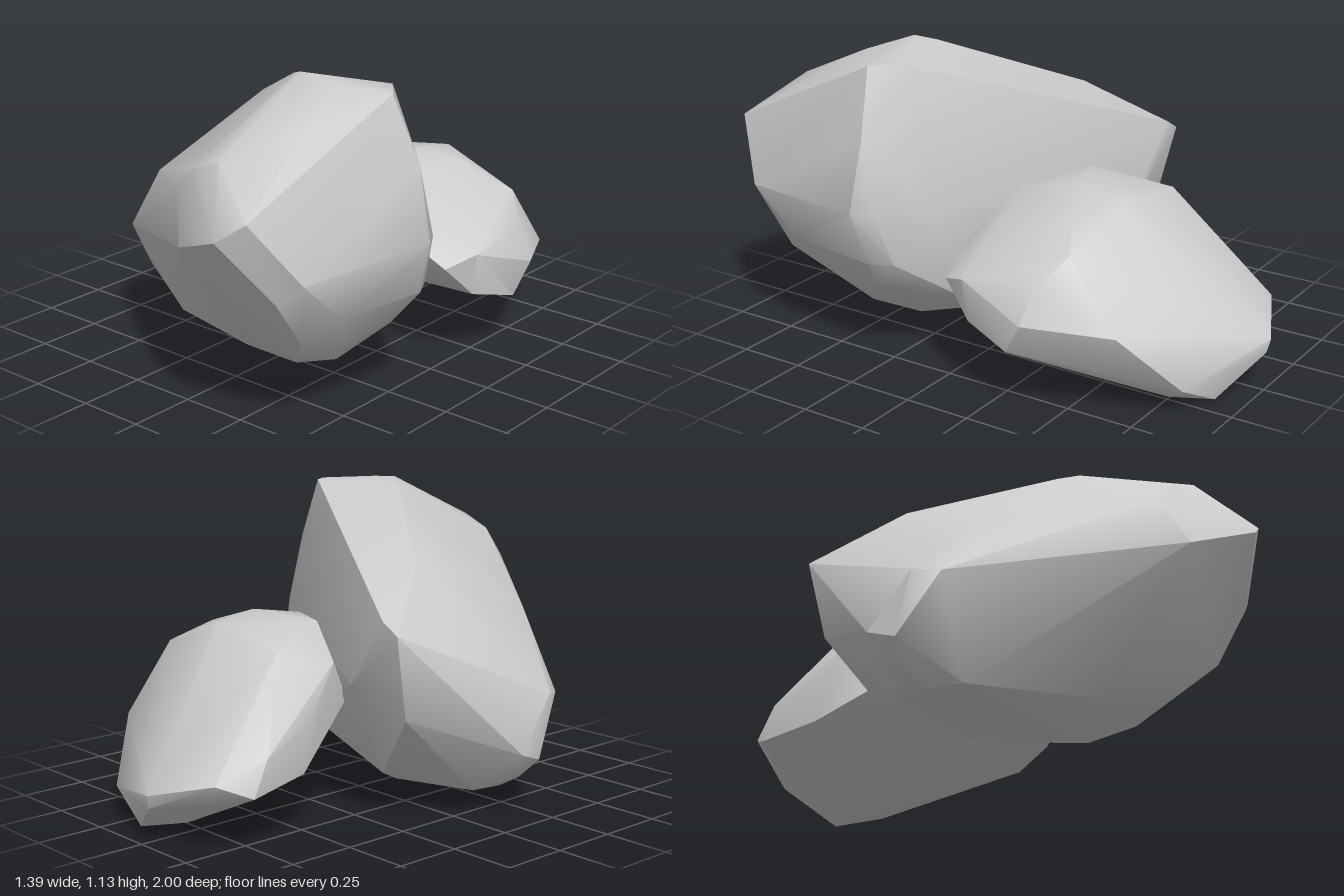
import * as THREE from 'three';
import { ConvexGeometry } from 'three/addons/geometries/ConvexGeometry.js';
import { toCreasedNormals } from 'three/addons/utils/BufferGeometryUtils.js';

// Chiselled boulder: the hull of its corner points, soft across shallow facets
function makeRock(name, corners, crease) {
  const points = corners.map(([x, y, z]) => new THREE.Vector3(x, y, z));
  const geometry = toCreasedNormals(new ConvexGeometry(points), crease);
  const mesh = new THREE.Mesh(geometry, new THREE.MeshStandardMaterial({ color: 0xcccccc }));
  mesh.name = name;
  return mesh;
}

const LARGE = [
  // top ridge
  [0.54, 1.105, 0.3], [0.47, 1.11, 0.21], [0.19, 1.135, 0.36], [0.12, 1.11, 0.31],
  [0.24, 1.03, 0.15], [-0.34, 0.9, -0.04], [-0.48, 0.75, -0.33], [-0.55, 0.71, -0.33],
  [0.38, 1.115, 0.43],
  // sloping front shoulder
  [0.42, 1.03, 0.59], [0.25, 0.94, 0.83], [0.13, 0.895, 0.82], [0.04, 0.8, 0.81],
  [-0.4, 0.69, 0.46], [0.31, 0.78, 0.93],
  // front rim
  [-0.67, 0.43, 0.31], [-0.62, 0.415, 0.4], [-0.44, 0.45, 0.5], [0.12, 0.635, 0.89],
  [0.38, 0.74, 0.995], [0.475, 0.81, 0.95],
  // front right edge
  [0.59, 0.59, 0.81], [0.505, 0.52, 0.85], [0.59, 0.42, 0.62], [0.5, 0.34, 0.72],
  [0.35, 0.18, 0.57],
  // right side
  [0.63, 0.87, 0.265], [0.69, 0.61, 0.28], [0.63, 0.41, 0.25], [0.65, 0.61, 0.21],
  [0.59, 0.41, 0.17], [0.54, 0.29, 0.3], [0.4, 0.155, 0.42],
  // underside
  [0.24, 0.07, 0.32], [0.06, 0.14, 0.5], [-0.43, 0.09, 0.33], [-0.51, 0.07, 0.23],
  [-0.5, 0.075, 0.1], [-0.11, 0.035, 0.09], [-0.62, 0.13, 0.21], [-0.68, 0.2, 0.25],
  [-0.7, 0.24, 0.14], [-0.3, 0.15, -0.16], [0.3, 0.2, 0.04],
  // back
  [-0.52, 0.4, -0.26], [-0.3, 0.5, -0.31], [0.48, 0.6, 0.06],
];

const SMALL = [
  // crown
  [0.2, 0.66, -0.12], [0.2, 0.7, -0.34], [-0.05, 0.68, -0.25], [-0.16, 0.62, -0.53],
  [0.18, 0.67, -0.53], [0.34, 0.65, -0.42], [0.5, 0.56, -0.5],
  // front end
  [0.35, 0.49, 0], [0.17, 0.6, -0.06], [0.54, 0.39, -0.02], [0.3, 0.4, -0.03],
  [0.58, 0.27, -0.14],
  // right side
  [0.6, 0.43, -0.13], [0.5, 0.5, -0.2], [0.59, 0.46, -0.42], [0.655, 0.34, -0.4],
  [0.63, 0.22, -0.33], [0.51, 0.31, -0.69], [0.41, 0.15, -0.77], [0.35, 0.1, -0.86],
  // left side
  [-0.14, 0.4, -0.19], [-0.23, 0.57, -0.33], [-0.3, 0.4, -0.5], [-0.3, 0.22, -0.53],
  [-0.34, 0.32, -0.72], [-0.34, 0.19, -0.78],
  // back tip and base
  [-0.27, 0.24, -0.89], [-0.04, 0.18, -1], [-0.03, 0.13, -0.99], [0.16, 0, -0.89],
  [0.01, 0.03, -0.8], [0.32, 0.05, -0.79], [0.2, 0.22, -0.22],
];

export function createModel() {
  const group = new THREE.Group();
  group.name = 'rocks';
  group.add(makeRock('largeRock', LARGE, 0.6), makeRock('smallRock', SMALL, 0.7));
  return group;
}
